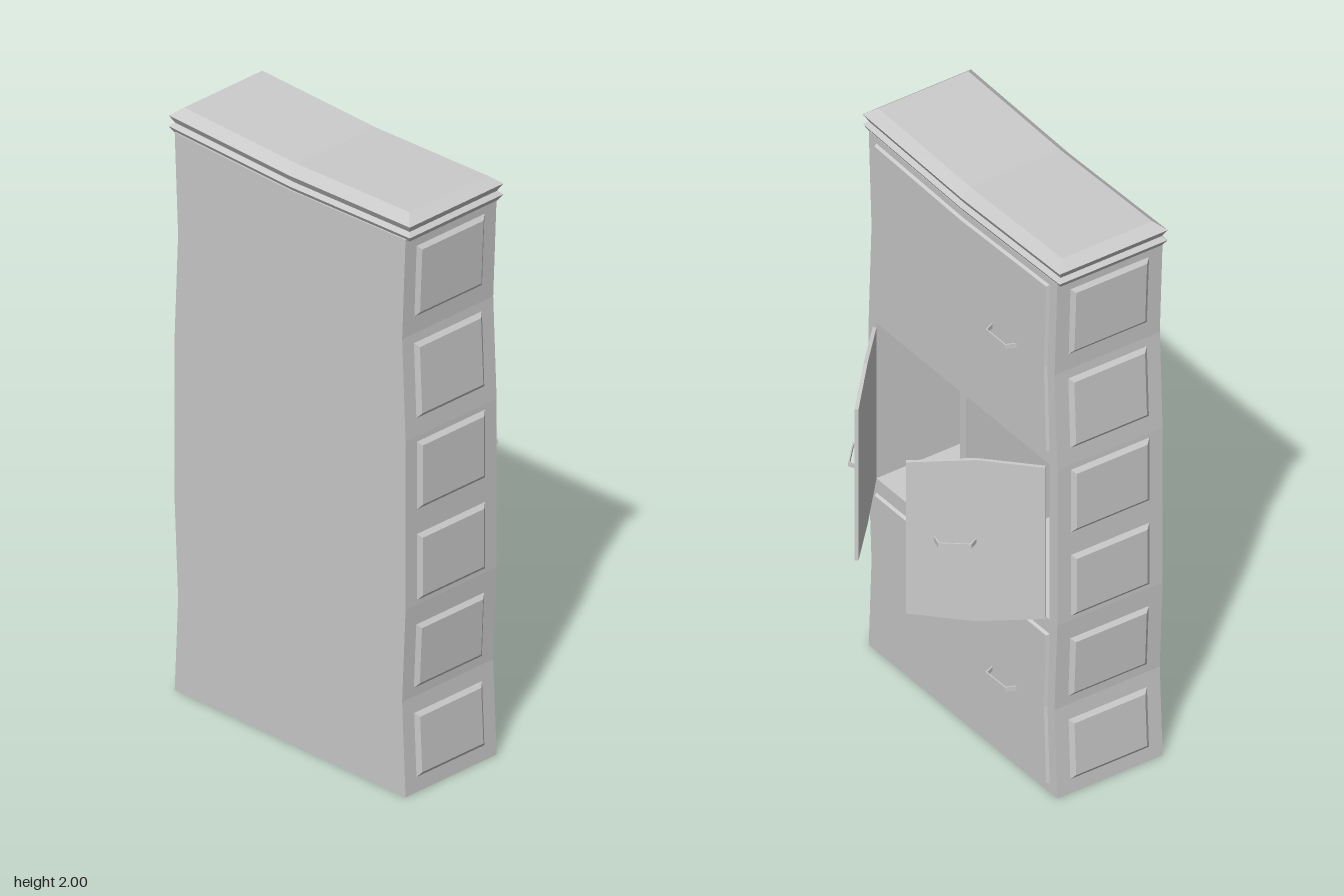
import * as THREE from 'three';

const material = new THREE.MeshStandardMaterial({ color: 0xcccccc, flatShading: true });

// Cartoon warp: pinched waists along the height, sagging top
const KNOTS = [[0, 1], [0.32, 0.97], [0.645, 1], [1.225, 1], [1.58, 0.97], [1.92, 1], [2.1, 1]];
function waist(y) {
  for (let i = 1; i < KNOTS.length; i++) {
    const [y0, s0] = KNOTS[i - 1], [y1, s1] = KNOTS[i];
    if (y <= y1) return s0 + (s1 - s0) * Math.max(0, (y - y0) / (y1 - y0));
  }
  return 1;
}
function warp(geometry) {
  const p = geometry.attributes.position;
  for (let i = 0; i < p.count; i++) {
    const x = p.getX(i), y = p.getY(i);
    const sag = 0.014 * Math.max(0, 1 - Math.abs(x) / 0.5) * THREE.MathUtils.clamp((y - 1.4) / 0.5, 0, 1);
    p.setXY(i, x * waist(y), y - sag);
  }
  geometry.computeVertexNormals();
  return geometry;
}

// Box between two corners, given segments along x and y
function block(x0, x1, y0, y1, z0, z1, sx = 1, sy = 1) {
  return new THREE.BoxGeometry(x1 - x0, y1 - y0, z1 - z0, sx, sy, 1)
    .translate((x0 + x1) / 2, (y0 + y1) / 2, (z0 + z1) / 2);
}

// Narrow one side of a block towards its middle, making a bevel
function bevel(geometry, axis, side, inset) {
  geometry.computeBoundingBox();
  const box = geometry.boundingBox, centre = box.getCenter(new THREE.Vector3());
  const limit = side > 0 ? box.max[axis] : box.min[axis];
  const p = geometry.attributes.position, v = new THREE.Vector3();
  for (let i = 0; i < p.count; i++) {
    v.fromBufferAttribute(p, i);
    if (Math.abs(v[axis] - limit) > 1e-5) continue;
    for (const other of ['x', 'y', 'z']) {
      const half = (box.max[other] - box.min[other]) / 2;
      if (other !== axis) v[other] -= ((v[other] - centre[other]) / half) * inset;
    }
    p.setXYZ(i, v.x, v.y, v.z);
  }
  return geometry;
}

function add(parent, name, geometry) {
  const mesh = new THREE.Mesh(geometry, material);
  mesh.name = name;
  parent.add(mesh);
  return mesh;
}

// Bent strip pull, standing out towards -z
function handleGeometry() {
  const s = new THREE.Shape();
  [[0, 0], [0.014, 0.033], [0.116, 0.033], [0.13, 0], [0.126, 0], [0.113, 0.029], [0.017, 0.029], [0.004, 0]]
    .forEach(([x, y], i) => (i ? s.lineTo(x, y) : s.moveTo(x, y)));
  return new THREE.ExtrudeGeometry(s, { depth: 0.016, bevelEnabled: false })
    .rotateX(-Math.PI / 2).translate(0, -0.008, 0);
}

// Open door hinged at the group origin; dir is the way it extends along x
function openDoor(name, dir, length) {
  const door = new THREE.Group();
  door.name = name;
  const x0 = dir > 0 ? 0 : -length;
  const g = block(x0, x0 + length, 0.652, 1.216, -0.006, 0.006, 2, 1);
  const p = g.attributes.position;
  for (let i = 0; i < p.count; i++) {
    if (Math.abs(p.getX(i) - x0 - length / 2) < 0.01) {
      p.setY(i, p.getY(i) + 0.019 * Math.sign(p.getY(i) - 0.93));
    }
  }
  g.computeVertexNormals();
  add(door, 'doorPanel', g);
  add(door, 'doorHandle', handleGeometry()).position.set(dir > 0 ? 0.21 : -0.345, 0.935, -0.006);
  return door;
}

export function createModel() {
  const cabinet = new THREE.Group();
  cabinet.name = 'cabinet';
  const back = -0.027, front = 0.366, low = 0.645, high = 1.225;

  // Carcass around the open middle compartment
  add(cabinet, 'lowerBody', warp(block(-0.495, 0.495, 0, low, back, front, 2, 2)));
  add(cabinet, 'upperBody', warp(block(-0.495, 0.495, high, 1.92, back, front, 2, 2)));
  for (const s of [-1, 1]) {
    add(cabinet, 'sideWall', block(s * 0.475 - 0.02, s * 0.475 + 0.02, low, high, back, front));
  }
  add(cabinet, 'rearWall', block(-0.495, 0.495, low, high, front - 0.03, front));
  add(cabinet, 'divider', block(-0.016, 0.016, low, high, back, front - 0.03));

  // Raised panels on both sides
  const rows = [[0.037, 0.281], [0.34, 0.589], [0.647, 0.902], [0.96, 1.22], [1.273, 1.554], [1.618, 1.894]];
  for (const s of [-1, 1]) {
    for (const [y0, y1] of rows) {
      const x0 = s > 0 ? 0.485 : -0.506;
      add(cabinet, 'sidePanel', warp(bevel(block(x0, x0 + 0.021, y0, y1, 0.01, 0.33), 'x', s, 0.028)));
    }
  }

  // Closed upper and lower doors with pulls
  for (const [name, y0, y1, yh] of [['lowerDoor', 0.03, 0.595, 0.3], ['upperDoor', 1.27, 1.9, 1.58]]) {
    add(cabinet, name, warp(bevel(block(-0.46, 0.46, y0, y1, -0.037, -0.02, 2, 2), 'z', -1, 0.008)));
    add(cabinet, name + 'Handle', handleGeometry()).position.set(-0.295, yh, -0.037);
  }

  // Middle pair of doors standing open
  const doorA = openDoor('rightDoor', 1, 0.426);
  doorA.position.set(-0.448, 0, -0.037);
  doorA.rotation.y = 0.885;
  const doorB = openDoor('leftDoor', -1, 0.435);
  doorB.position.set(0.45, 0, -0.037);
  doorB.rotation.y = -0.745;
  cabinet.add(doorA, doorB);

  // Cornice: stacked bevelled tiers (y0, y1, half width, half depth, bevelled side, inset)
  const tiers = [
    [1.915, 1.935, 0.517, 0.202, -1, 0.012],
    [1.935, 1.947, 0.517, 0.202, 1, 0.012],
    [1.947, 1.972, 0.517, 0.202, -1, 0.014],
    [1.972, 2.0, 0.517, 0.202, 1, 0.034],
  ];
  for (const [y0, y1, w, d, side, inset] of tiers) {
    add(cabinet, 'cornice', warp(bevel(block(-w, w, y0, y1, 0.168 - d, 0.168 + d, 2, 1), 'y', side, inset)));
  }
  return cabinet;
}
